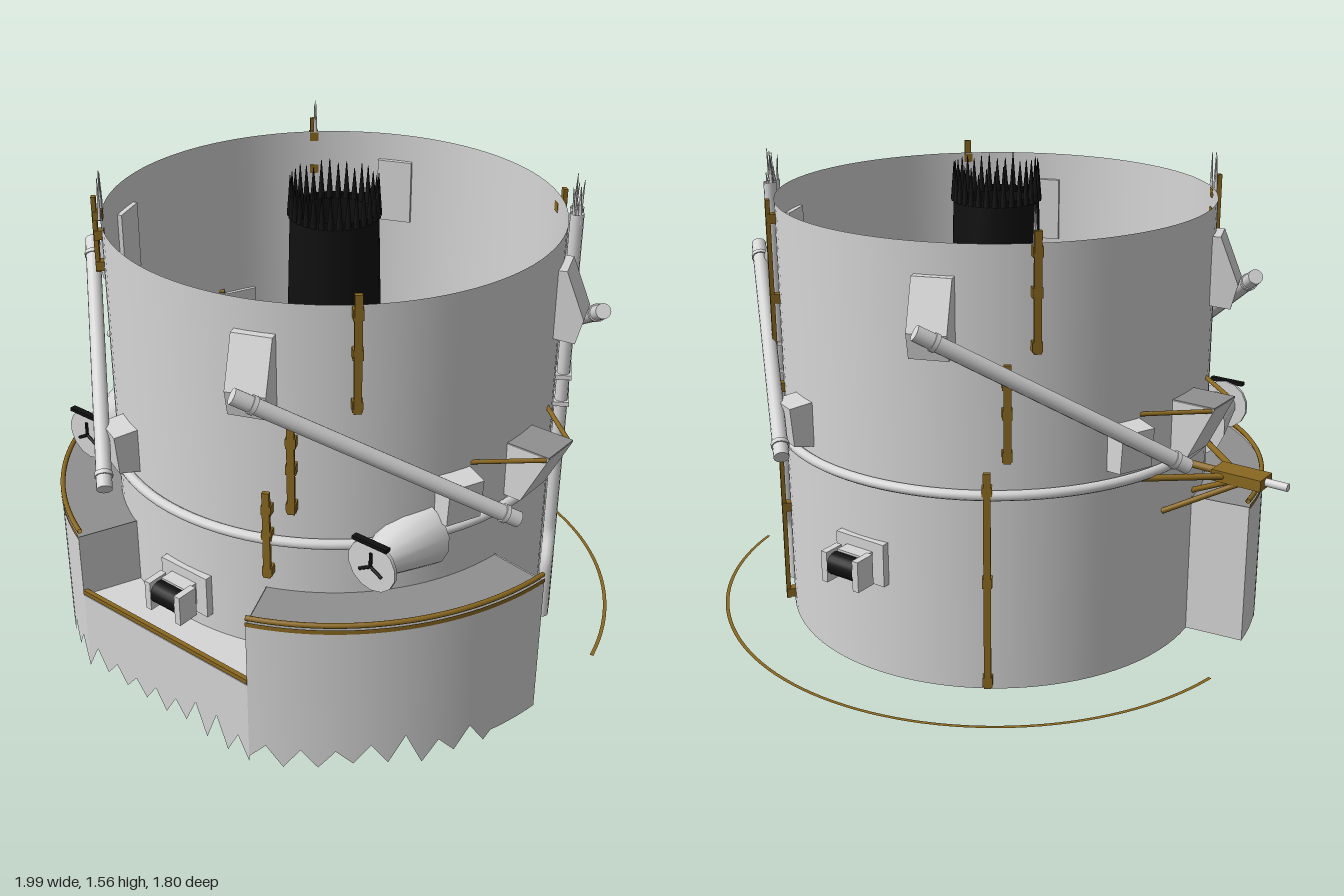
import * as THREE from 'three';

const V = (x, y, z) => new THREE.Vector3(x, y, z);
const rad = THREE.MathUtils.degToRad;
const material = (name, color) => {
  const m = new THREE.MeshStandardMaterial({ color, side: THREE.DoubleSide });
  m.name = name;
  return m;
};

export function createModel() {
  const grey = material('light grey', 0xd6d6d6);
  const dark = material('deck grey', 0x909090);
  const gold = material('dark gold', 0x8a6820);
  const black = material('black', 0x101010);

  const model = new THREE.Group();
  const body = new THREE.Group();
  body.name = 'body';
  body.position.set(0.07, 0, 0.04);
  model.add(body);

  let seed = 7;
  const rnd = () => (seed = (seed * 16807) % 2147483647) / 2147483647;

  const add = (name, geo, mat, parent = body) => {
    const m = new THREE.Mesh(geo, mat);
    m.name = name;
    parent.add(m);
    return m;
  };
  // point at an azimuth measured from the front toward +x
  const polar = (deg, r, y) => V(r * Math.sin(rad(deg)), y, r * Math.cos(rad(deg)));
  const arc = (a, b, r, y, n = 30) =>
    Array.from({ length: n + 1 }, (_, i) => polar(a + (b - a) * i / n, r, y));
  const box = (name, w, h, d, x, y, z, mat, parent) => {
    const m = add(name, new THREE.BoxGeometry(w, h, d), mat, parent);
    m.position.set(x, y, z);
    return m;
  };
  const rod = (name, a, b, r, mat, parent, rTop = r) => {
    const m = add(name, new THREE.CylinderGeometry(rTop, r, a.distanceTo(b), 14), mat, parent);
    m.position.copy(a).lerp(b, 0.5);
    m.quaternion.setFromUnitVectors(V(0, 1, 0), b.clone().sub(a).normalize());
    return m;
  };
  const tube = (name, pts, r, mat, n = 60) => add(name,
    new THREE.TubeGeometry(new THREE.CatmullRomCurve3(pts, false, 'centripetal'), n, r, 10), mat);
  // strip of surface between two rows of points
  const ribbon = (name, A, B, mat) => {
    const pos = [], idx = [];
    A.forEach((p, i) => {
      pos.push(...p.toArray(), ...B[i].toArray());
      if (i) { const k = 2 * i; idx.push(k - 2, k, k - 1, k - 1, k, k + 1); }
    });
    const g = new THREE.BufferGeometry();
    g.setAttribute('position', new THREE.Float32BufferAttribute(pos, 3));
    g.setIndex(idx);
    g.computeVertexNormals();
    return add(name, g, mat);
  };
  // group whose local +x points outward at the azimuth
  const outward = (name, deg) => {
    const g = new THREE.Group();
    g.name = name;
    g.rotation.y = rad(deg - 90);
    body.add(g);
    return g;
  };
  const bracket = (name, deg, profile, depth) => {
    const g = new THREE.ExtrudeGeometry(new THREE.Shape(profile.map(p => new THREE.Vector2(...p))),
      { depth, bevelEnabled: false });
    g.translate(0, 0, -depth / 2);
    return add(name, g, grey, outward(name + 'Mount', deg));
  };

  // Main open drum and the pipe around it
  add('drum', new THREE.CylinderGeometry(0.707, 0.707, 1.4, 96, 1, true), grey).position.y = 0.744;
  const ring = add('ringPipe', new THREE.TorusGeometry(0.72, 0.016, 10, 96), grey);
  ring.rotation.x = Math.PI / 2;
  ring.position.y = 0.695;

  // Central black conduit: lower cone, upper sleeve, crown of strands
  add('lowerCone', new THREE.CylinderGeometry(0.06, 0.123, 0.75, 32, 1, true), black).position.y = 0.405;
  add('upperSleeve', new THREE.CylinderGeometry(0.137, 0.147, 0.34, 32, 1, true), black).position.y = 1.27;
  for (let i = 0; i < 32; i++) {
    const p = polar(i * 11.25, 0.135, 1.42);
    rod('crownSpike', p, p.clone().setY(1.52 + 0.03 * rnd()), 0.011, black, body, 0.001);
  }

  // Front platform: jagged skirt, decks, notch
  const R = 0.9, A0 = 22.5, A1 = 82.4;
  const jag = pts => pts.map((p, i) => p.clone().setY(i % 2 ? 0.06 + 0.07 * rnd() : 0.005 + 0.03 * rnd()));
  for (const s of [1, -1]) {
    const top = arc(s * A0, s * A1, R, 0.52, 36);
    const teeth = jag(arc(s * A0, s * A1, R, 0, 18));
    const low = top.map((p, i) => {
      const y = i > 28 ? 0.045 : i % 2 ? (teeth[(i - 1) / 2].y + teeth[(i + 1) / 2].y) / 2 : teeth[i / 2].y;
      return p.clone().setY(y);
    });
    ribbon('skirt', low, top, grey);
    ribbon('deck', arc(s * A0, s * A1, 0.707, 0.515, 36), arc(s * A0, s * A1, R, 0.515, 36), dark);
    ribbon('endWall', [polar(s * A1, 0.707, 0.045), polar(s * A1, R, 0.045)],
      [polar(s * A1, 0.707, 0.52), polar(s * A1, R, 0.52)], grey);
    ribbon('notchWall', [polar(s * A0, 0.707, 0.3), polar(s * A0, R, 0.3)],
      [polar(s * A0, 0.707, 0.52), polar(s * A0, R, 0.52)], grey);
    tube('deckRail', arc(s * A0, s * A1, R - 0.006, 0.54), 0.008, gold);
    ribbon('deckTrim', arc(s * A0, s * A1, R + 0.002, 0.515), arc(s * A0, s * A1, R + 0.002, 0.53), gold);
  }
  const halfW = R * Math.sin(rad(A0)), frontZ = R * Math.cos(rad(A0));
  const chord = Array.from({ length: 17 }, (_, i) => V(-halfW + halfW * i / 8, 0.3, frontZ));
  ribbon('frontSkirt', jag(chord), chord, grey);
  ribbon('notchFloor', arc(-A0, A0, 0.707, 0.3, 16), chord, grey);
  box('notchRail', halfW * 2, 0.015, 0.015, 0, 0.312, frontZ - 0.006, gold);

  // Four diagonal poles with upper and lower brackets
  for (let k = 0; k < 4; k++) {
    const g = new THREE.Group();
    g.name = 'poleSet';
    g.rotation.y = k * Math.PI / 2;
    body.add(g);
    const a = V(0.285, 1.22, 0.79), b = V(0.835, 0.755, 0.2);
    rod('pole', a, b, 0.024, grey, g);
    for (const t of [0.06, 0.94]) {
      const p = a.clone().lerp(b, t), q = a.clone().lerp(b, t + 0.015);
      rod('poleCollar', p, q, 0.028, grey, g);
    }
    bracket('upperBracket', 21 + 90 * k,
      [[0.69, 1.13], [0.77, 1.12], [0.79, 1.2], [0.73, 1.35], [0.69, 1.35]], 0.12);
    bracket('lowerBracket', 67.5 + 90 * k,
      [[0.69, 0.73], [0.77, 0.745], [0.78, 0.87], [0.69, 0.88]], 0.115);
  }

  // Side boxes with gold struts
  for (const s of [1, -1]) {
    bracket('sideBox', 90 * s, [[0.69, 0.72], [0.76, 0.72], [0.845, 0.893], [0.69, 0.893]], 0.135);
    box('sideBoxLid', 0.15, 0.006, 0.135, s * 0.77, 0.896, 0, dark);
    for (const t of [1, -1]) {
      rod('sideStrut', V(s * 0.835, 0.888, t * 0.065), V(s * 0.67, 0.888, t * 0.21), 0.007, gold);
    }
  }

  // Winches at front and back
  for (const deg of [0, 180]) {
    const g = outward('winch', deg);
    box('winchPlate', 0.03, 0.14, 0.185, 0.71, 0.43, 0, grey, g);
    box('winchBlock', 0.06, 0.075, 0.1, 0.74, 0.43, 0, grey, g);
    for (const s of [1, -1]) box('winchCheek', 0.07, 0.1, 0.022, 0.785, 0.425, s * 0.061, grey, g);
    const spool = add('winchSpool', new THREE.CylinderGeometry(0.036, 0.036, 0.1, 20), black, g);
    spool.rotation.x = Math.PI / 2;
    spool.position.set(0.785, 0.428, 0);
  }

  // Two forward horns with spoked faces
  for (const s of [1, -1]) {
    const g = new THREE.Group();
    g.name = 'horn';
    g.position.set(s * 0.58, 0.675, 0);
    body.add(g);
    rod('hornCone', V(0, 0, 0.33), V(0, 0, 0.54), 0.112, grey, g, 0.045);
    rod('hornFace', V(0, 0, 0.545), V(0, 0, 0.556), 0.083, grey, g);
    for (let i = 0; i < 3; i++) {
      const a = rad(90 + 120 * i);
      rod('hornSpoke', V(0, 0, 0.56), V(0.045 * Math.cos(a), 0.045 * Math.sin(a), 0.56), 0.005, black, g);
    }
    box('hornVisor', 0.12, 0.012, 0.02, 0, 0.08, 0.56, black, g);
  }

  // Vertical gold strips: azimuth, bottom, top
  [[43.6, 1.13, 1.485], [29.2, 0.8, 1.09], [23.4, 0.57, 0.86], [311, 1.24, 1.485],
    [224.4, 1.13, 1.485], [217.7, 0.8, 1.1], [213, 0.06, 0.77],
    [138.5, 0.82, 1.455], [138.5, 0.08, 0.755]].forEach(([deg, lo, hi]) => {
    const g = outward('goldStrip', deg);
    box('strip', 0.014, hi - lo, 0.022, 0.73, (lo + hi) / 2, 0, gold, g);
    for (const y of [lo + 0.02, (lo + hi) / 2, hi - 0.06])
      box('stripClip', 0.03, 0.03, 0.03, 0.72, y, 0, gold, g);
  });

  // Twin cable pipes with a jog, clamps and frayed tops
  for (const s of [-1, 1]) {
    const at = (y, shift) => polar(121 + shift + s * 1.9, 0.73, y);
    tube('cablePipe', [at(0.035, -4), at(0.2, -4), at(0.25, -3.7), at(0.34, -0.3), at(0.4, 0), at(0.9, 0), at(1.47, 0)],
      0.021, grey);
    for (let i = 0; i < 7; i++) {
      const p = polar(121 + s * 1.9 + (rnd() - 0.5) * 2.4, 0.72 + 0.02 * rnd(), 1.44);
      rod('frayedStrand', p, V(p.x + (rnd() - 0.5) * 0.02, 1.5 + 0.08 * rnd(), p.z), 0.006, grey, body, 0.001);
    }
  }
  for (const y of [0.835, 0.93]) box('cableClamp', 0.05, 0.015, 0.1, 0.73, y, 0, grey, outward('clamp', 121));
  for (const deg of [309, 313, 224]) {
    for (let i = 0; i < 3; i++) {
      const p = polar(deg + (rnd() - 0.5) * 1.5, 0.712, 1.42);
      rod('looseStrand', p, p.clone().setY(1.49 + 0.07 * rnd()), 0.006, grey, body, 0.001);
    }
  }

  // Side boom with braces
  rod('boomTip', V(-1.07, 0.675, -0.003), V(-0.98, 0.675, -0.003), 0.013, grey);
  box('boomBlock', 0.165, 0.036, 0.08, -0.915, 0.674, -0.003, gold);
  rod('boomRod', V(-0.86, 0.675, -0.003), V(-0.7, 0.677, -0.003), 0.012, gold);
  for (const s of [1, -1]) {
    rod('boomBrace', V(-0.87, 0.675, s * 0.035), V(-0.67, 0.68, s * 0.21), 0.01, gold);
    rod('boomLowerBrace', V(-0.92, 0.66, s * 0.03), V(-0.7, 0.54, s * 0.1), 0.009, gold);
  }

  // Flat gold arc behind the drum
  ribbon('rearArc', arc(102, 260, 0.932, 0.055, 60), arc(102, 260, 0.944, 0.055, 60), gold);

  return model;
}
